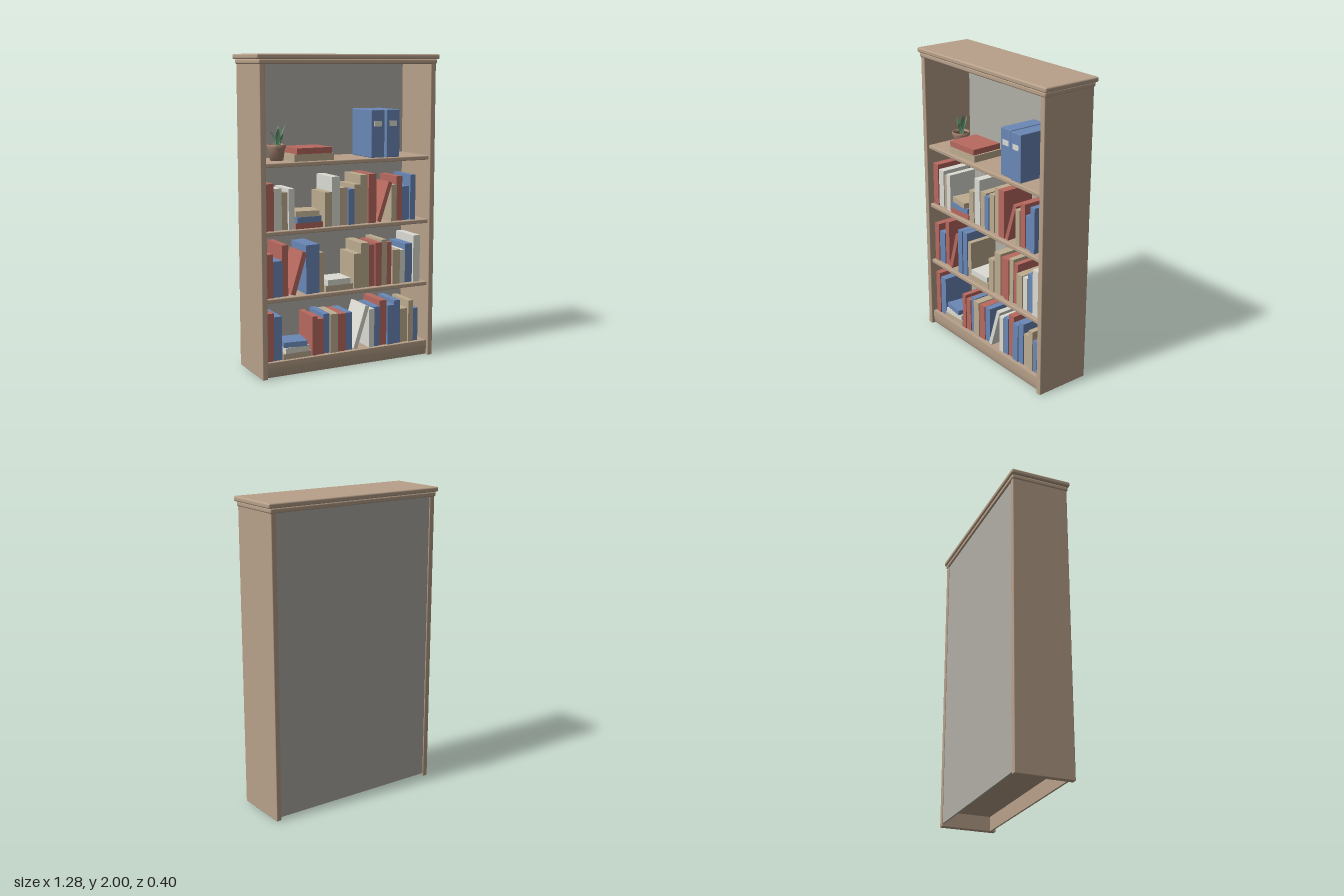
import * as THREE from 'three';
import { RoundedBoxGeometry } from 'three/addons/geometries/RoundedBoxGeometry.js';

const paint = (color, side = THREE.FrontSide) => new THREE.MeshStandardMaterial({ color, side });
const WOOD = paint(0xb8a18a), FLOOR = paint(0xb8a18a, THREE.DoubleSide), PANEL = paint(0xb0aea6);
const POT = paint(0xa88672, THREE.DoubleSide), SOIL = paint(0x4a3a30), LEAF = paint(0x679a76, THREE.DoubleSide);
const COVER = { r: paint(0xb8695f), b: paint(0x6a87b5), w: paint(0xdcdcd4), t: paint(0xbdac90) };

function add(parent, name, geometry, material, x = 0, y = 0, z = 0) {
  const mesh = new THREE.Mesh(geometry, material);
  mesh.name = name;
  mesh.position.set(x, y, z);
  parent.add(mesh);
  return mesh;
}

// Box given by its limits; optional edge radius
function block(parent, name, material, [x0, x1], [y0, y1], [z0, z1], radius = 0) {
  const size = [x1 - x0, y1 - y0, z1 - z0];
  const geometry = radius ? new RoundedBoxGeometry(...size, 2, radius) : new THREE.BoxGeometry(...size);
  return add(parent, name, geometry, material, (x0 + x1) / 2, (y0 + y1) / 2, (z0 + z1) / 2);
}

const SHELVES = [0.1, 0.505, 0.925, 1.345];
const FRONT = 0.148;

// Upright books: run start x, then [cover, width, height] in hundredths
const RUNS = [
  [
    [-0.569, ['r', 4.8, 30.8], ['b', 5.8, 28.1]],
    [-0.257, ['r', 3.7, 25.5], ['r', 4.8, 23.3], ['b', 4.2, 26], ['t', 5.8, 25.5], ['r', 5.8, 24.9], ['b', 4.8, 24.9]],
    [0.151, ['w', 4.2, 25.5], ['b', 4.5, 26.5], ['r', 5.3, 30.2], ['b', 5.3, 26.5], ['b', 4.8, 29.2],
      ['t', 5.8, 22.8], ['t', 3.9, 28.1], ['b', 3.9, 22.3]],
  ],
  [
    [-0.569, ['r', 4.8, 27.6], ['b', 6.3, 22.8], ['r', 4.2, 32.4]],
    [-0.299, ['b', 4.8, 31.3], ['b', 4.8, 31.3], ['t', 3.7, 25.5]],
    [0.04, ['t', 5.3, 22.8], ['t', 6.3, 29.2], ['r', 4.2, 27.6], ['r', 4.8, 28.6], ['t', 4.2, 30.2],
      ['r', 3.7, 28.1], ['t', 5.8, 22.8], ['w', 4.2, 22.3], ['b', 5.8, 26], ['w', 5.3, 31.3]],
  ],
  [
    [-0.569, ['r', 5.6, 29.2], ['w', 5.5, 26], ['t', 4.2, 23.3], ['w', 4.2, 25.5]],
    [-0.167, ['t', 5.2, 21.8], ['w', 5.8, 31.3], ['t', 5.7, 23.9], ['b', 4.4, 22.8], ['t', 4.8, 25.5],
      ['t', 5.3, 31.3], ['r', 5.8, 31.8]],
    [0.313, ['t', 4.2, 23.9], ['r', 4.4, 29.2], ['b', 5.6, 22.3], ['b', 4.1, 29.7]],
  ],
];

// Leaning books: [shelf, cover, foot x, thickness, length, tilt]
const LEANING = [[0, 'w', 0.066, 0.029, 0.29, 0.31], [1, 'r', -0.373, 0.032, 0.278, 0.3], [2, 'r', 0.236, 0.028, 0.268, 0.32]];

// Lying books, bottom up: [shelf, centre x, depth, [cover, width, thickness, turn]...]
const STACKS = [
  [0, -0.363, 0.16, ['t', 0.195, 0.036, 0.02], ['w', 0.165, 0.037, 0.03], ['b', 0.155, 0.034, -0.12]],
  [1, -0.066, 0.16, ['t', 0.195, 0.038, 0.02], ['w', 0.165, 0.037, 0.01]],
  [2, -0.275, 0.16, ['r', 0.19, 0.036, 0.03], ['b', 0.17, 0.038, 0.02], ['t', 0.155, 0.036, -0.13]],
  [3, -0.24, 0.215, ['t', 0.27, 0.045, 0.015], ['r', 0.245, 0.037, 0.03]],
];

function buildCase() {
  const group = new THREE.Group();
  group.name = 'bookcase';
  for (const s of [-1, 1]) {
    block(group, s > 0 ? 'leftSide' : 'rightSide', WOOD, [s * 0.5975 - 0.0185, s * 0.5975 + 0.0185], [0, 1.945], [-0.188, 0.188], 0.005);
  }
  block(group, 'backPanel', PANEL, [-0.58, 0.58], [0.02, 1.945], [-0.182, -0.17]);
  block(group, 'crownMoulding', WOOD, [-0.623, 0.623], [1.938, 1.97], [-0.194, 0.194], 0.01);
  block(group, 'topBoard', WOOD, [-0.638, 0.638], [1.968, 2], [-0.202, 0.202], 0.01);
  for (const y of SHELVES.slice(1)) {
    block(group, 'shelf', WOOD, [-0.58, 0.58], [y - 0.027, y], [-0.172, 0.172], 0.006);
  }
  // Thin floor over the hollow plinth
  const floor = add(group, 'floorBoard', new THREE.PlaneGeometry(1.16, 0.34), FLOOR, 0, SHELVES[0] - 0.001, 0);
  floor.rotation.x = -Math.PI / 2;
  // Plinth board, its face rounding back towards the ground
  const section = new THREE.Shape();
  section.moveTo(0.148, 0.002);
  section.lineTo(0.16, 0.002);
  section.quadraticCurveTo(0.172, 0.03, 0.172, 0.1);
  section.lineTo(0.148, 0.1);
  const plinth = new THREE.ExtrudeGeometry(section, { depth: 1.16, bevelEnabled: false, curveSegments: 10 });
  add(group, 'plinth', plinth, WOOD, 0.58).rotation.y = -Math.PI / 2;
  return group;
}

function buildBooks() {
  const group = new THREE.Group();
  group.name = 'books';
  RUNS.forEach((runs, row) => runs.forEach(([start, ...books]) => {
    let x = start;
    books.forEach(([cover, w, h], i) => {
      const width = w / 100, y = SHELVES[row], front = FRONT - (i % 3) * 0.006;
      const depth = 0.13 + h * 0.003;
      block(group, 'book', COVER[cover], [x + 0.001, x + width - 0.001], [y, y + h / 100], [front - depth, front]);
      x += width;
    });
  }));
  for (const [row, cover, x, thick, length, tilt] of LEANING) {
    const geometry = new THREE.BoxGeometry(thick, length, 0.2).translate(-thick / 2, length / 2, 0);
    add(group, 'leaningBook', geometry, COVER[cover], x, SHELVES[row], FRONT - 0.1).rotation.z = -tilt;
  }
  for (const [row, x, depth, ...books] of STACKS) {
    let y = SHELVES[row];
    for (const [cover, w, thick, turn] of books) {
      add(group, 'lyingBook', new THREE.BoxGeometry(w, thick, depth), COVER[cover], x, y + thick / 2, FRONT - depth / 2).rotation.y = turn;
      y += thick;
    }
  }
  return group;
}

function buildBinders() {
  const group = new THREE.Group();
  group.name = 'binders';
  const y = SHELVES[3];
  for (const [x, front] of [[0.213, 0.145], [0.319, 0.155]]) {
    block(group, 'binder', COVER.b, [x - 0.048, x + 0.048], [y, y + 0.305], [front - 0.26, front], 0.004);
    block(group, 'binderLabel', COVER.w, [x - 0.028, x + 0.028], [y + 0.2, y + 0.234], [front - 0.002, front + 0.002]);
  }
  return group;
}

// Tapered blade bending outwards, folded along its middle
function leafGeometry(height, width, bend) {
  const geometry = new THREE.PlaneGeometry(1, 1, 2, 8);
  const p = geometry.attributes.position;
  for (let i = 0; i < p.count; i++) {
    const t = p.getY(i) + 0.5, u = p.getX(i);
    const half = width * (0.5 + 1.2 * t) * (1 - t ** 3);
    p.setXYZ(i, u * half, t * height, bend * t * t + Math.abs(u) * half * 0.4);
  }
  geometry.computeVertexNormals();
  return geometry;
}

function buildPlant() {
  const group = new THREE.Group();
  group.name = 'pottedPlant';
  group.position.set(-0.433, SHELVES[3], 0.01);
  const profile = [[0, 0], [0.042, 0], [0.053, 0.078], [0.059, 0.078], [0.06, 0.1], [0.052, 0.1], [0.05, 0.085]];
  const pot = new THREE.LatheGeometry(profile.map(([r, y]) => new THREE.Vector2(r, y)), 24);
  add(group, 'pot', pot, POT);
  add(group, 'soil', new THREE.CircleGeometry(0.051, 24), SOIL, 0, 0.086, 0).rotation.x = -Math.PI / 2;
  // Leaves: [height, bend, heading]
  const leaves = [[0.145, 0.045, 1.2], [0.12, 0.03, -0.3], [0.1, 0.04, -1.5], [0.125, 0.03, 2.6], [0.085, 0.035, 0.5]];
  for (const [height, bend, heading] of leaves) {
    const x = 0.008 + Math.sin(heading) * 0.008, z = Math.cos(heading) * 0.008;
    add(group, 'leaf', leafGeometry(height, 0.03, bend), LEAF, x, 0.085, z).rotation.y = heading;
  }
  return group;
}

export function createModel() {
  const model = new THREE.Group();
  model.name = 'filledBookcase';
  model.add(buildCase(), buildBooks(), buildBinders(), buildPlant());
  return model;
}
